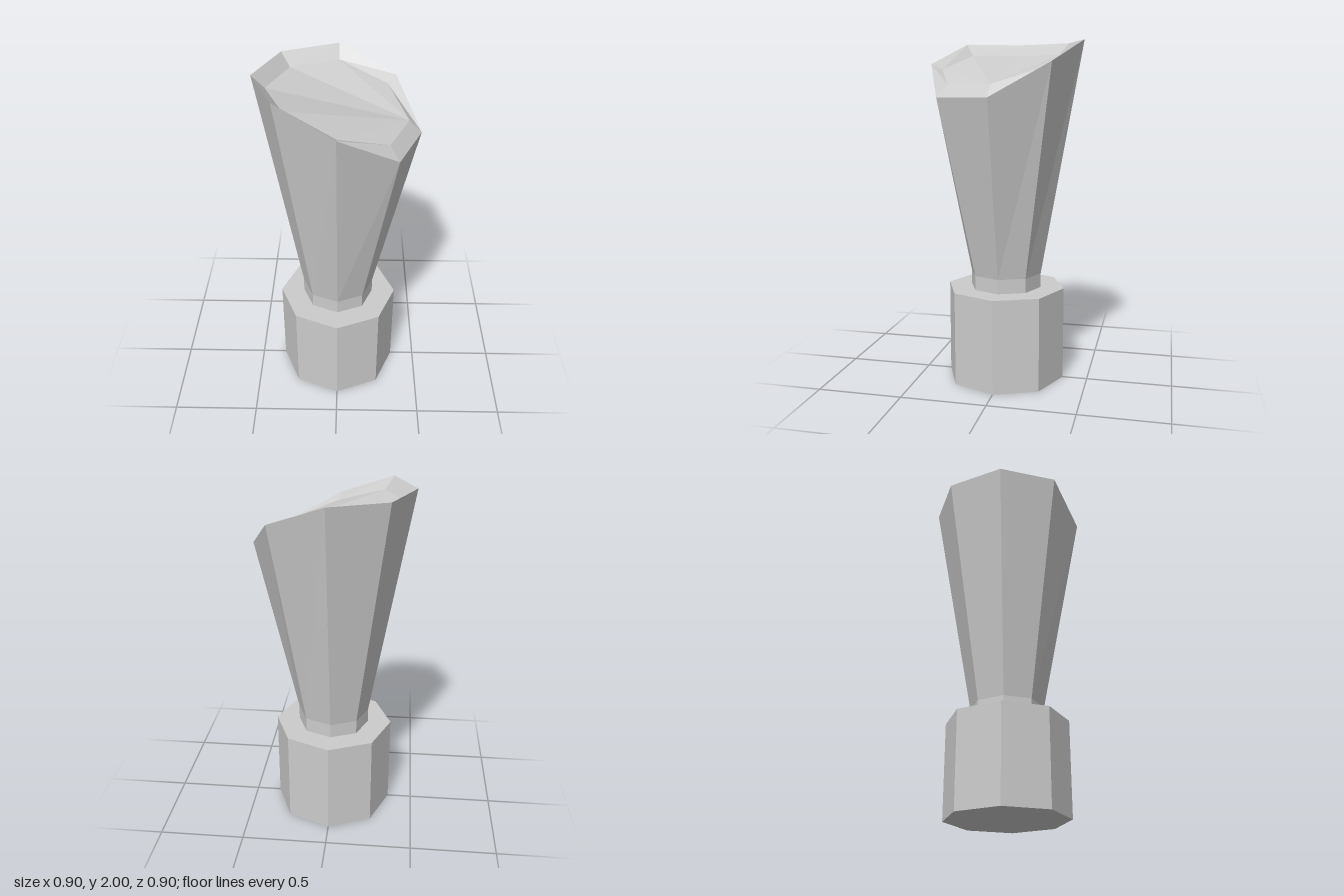
import * as THREE from 'three';

const SIDES = 8;
// Heights of the slanted lip corners, from the front (+z) round through +x
const OUTER_LIP = [1.87, 1.68, 1.68, 1.87, 2, 2, 2, 2];
const INNER_LIP = [1.84, 1.75, 1.75, 1.84, 1.93, 1.93, 1.93, 1.93];

const material = new THREE.MeshStandardMaterial({ color: 0xcccccc, flatShading: true });

function addMesh(group, name, geometry) {
  const mesh = new THREE.Mesh(geometry, material);
  mesh.name = name;
  group.add(mesh);
}

// Octagonal ring with one height per corner
function ring(radius, heights) {
  return heights.map((y, i) => {
    const a = (i / SIDES) * Math.PI * 2;
    return new THREE.Vector3(Math.sin(a) * radius, y, Math.cos(a) * radius);
  });
}

function fromTriangles(points) {
  const geometry = new THREE.BufferGeometry().setFromPoints(points);
  geometry.computeVertexNormals();
  return geometry;
}

// Band of triangles between two rings
function band(lower, upper) {
  const points = [];
  for (let i = 0; i < SIDES; i++) {
    const j = (i + 1) % SIDES;
    points.push(lower[i], upper[j], upper[i], lower[i], lower[j], upper[j]);
  }
  return fromTriangles(points);
}

// Fan of triangles from one corner, filling a ring
function fan(corners, start) {
  const points = [];
  for (let k = 1; k < SIDES - 1; k++) {
    points.push(corners[start], corners[(start + k) % SIDES], corners[(start + k + 1) % SIDES]);
  }
  return fromTriangles(points);
}

export function createModel() {
  const model = new THREE.Group();
  model.name = 'flaredPost';

  // Solid octagonal foot
  const base = new THREE.CylinderGeometry(0.353, 0.353, 0.555, SIDES);
  base.translate(0, 0.2775, 0);
  addMesh(model, 'base', base);

  // Short straight neck
  const neck = new THREE.CylinderGeometry(0.213, 0.213, 0.085, SIDES, 1, true);
  neck.translate(0, 0.5975, 0);
  addMesh(model, 'neck', neck);

  // Flared body with a slanted lip and a shallow top
  const neckTop = ring(0.213, new Array(SIDES).fill(0.64));
  const outer = ring(0.452, OUTER_LIP);
  const inner = ring(0.382, INNER_LIP);
  addMesh(model, 'flaredBody', band(neckTop, outer));
  addMesh(model, 'lip', band(outer, inner));
  addMesh(model, 'topSurface', fan(inner, 2));

  return model;
}
